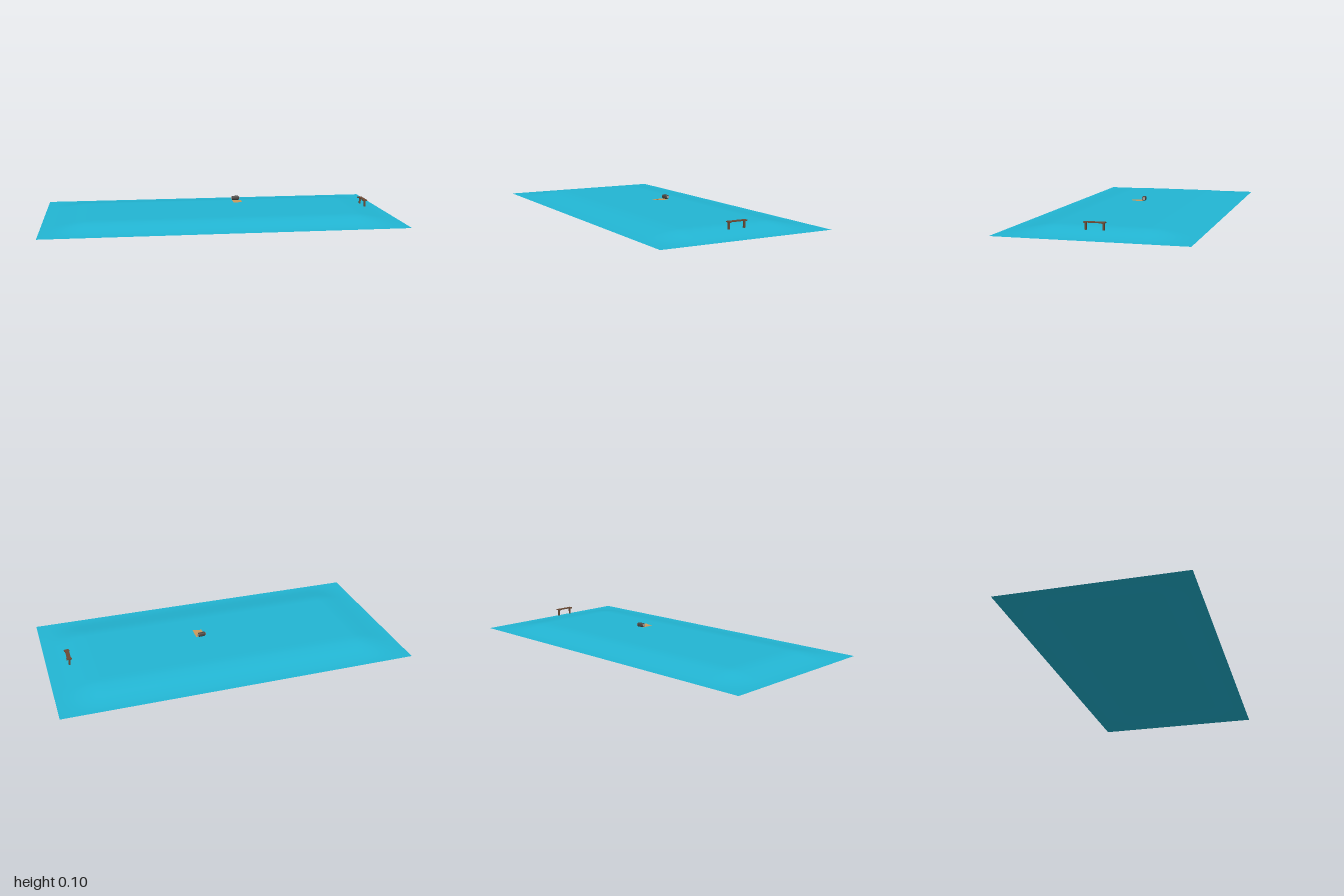
import * as THREE from 'three';
import { RoundedBoxGeometry } from 'three/addons/geometries/RoundedBoxGeometry.js';

const material = (color, side = THREE.FrontSide) => new THREE.MeshStandardMaterial({ color, side });

function part(parent, name, geometry, mat, x = 0, y = 0, z = 0) {
  const mesh = new THREE.Mesh(geometry, mat);
  mesh.name = name;
  mesh.position.set(x, y, z);
  parent.add(mesh);
  return mesh;
}

// Flat plane in xz whose heights follow a rule
function sheet(width, depth, nx, nz, height) {
  const geometry = new THREE.PlaneGeometry(width, depth, nx, nz).rotateX(-Math.PI / 2);
  const p = geometry.attributes.position;
  for (let i = 0; i < p.count; i++) p.setY(i, height(p.getX(i), p.getZ(i)));
  geometry.computeVertexNormals();
  return geometry;
}

export function createModel() {
  const model = new THREE.Group();
  model.name = 'benchAndMatOnSheet';
  const wood = material(0x6b4a35);
  const dark = material(0x4a4743);
  const pale = material(0xa8a59e);
  const tan = material(0xcb9a5c, THREE.DoubleSide);

  // Wide sheet: a flat plateau easing down to the rim on all four sides
  const ease = (d) => THREE.MathUtils.smoothstep(d, 0, 0.26);
  part(model, 'groundSheet',
    sheet(2, 1, 100, 50, (x, z) => 0.032 * ease(1 - Math.abs(x)) * ease(0.5 - Math.abs(z))),
    material(0x22b6d4, THREE.DoubleSide));

  // Bench near the right-hand end, with a cross block over each leg
  const bench = new THREE.Group();
  bench.name = 'bench';
  bench.position.set(0.877, 0, 0);
  model.add(bench);
  part(bench, 'benchSeat', new THREE.BoxGeometry(0.022, 0.005, 0.112), wood, 0, 0.0705, 0);
  for (const z of [-0.045, 0.046]) {
    part(bench, 'benchCrossBlock', new THREE.BoxGeometry(0.03, 0.005, 0.014), wood, 0, 0.069, z);
    part(bench, 'benchLeg', new THREE.BoxGeometry(0.01, 0.038, 0.008), wood, 0, 0.051, z);
  }

  // Thin mat with a slightly lifted front corner, and a rounded bag at its back
  const set = new THREE.Group();
  set.name = 'matAndBag';
  set.position.set(0.118, 0, 0);
  model.add(set);
  part(set, 'mat',
    sheet(0.052, 0.074, 8, 12, (x, z) => 0.074 + 0.01 * Math.max(0, (x / 0.026 + z / 0.037) / 2 - 0.3) ** 2),
    tan);
  const bag = new THREE.Group();
  bag.name = 'bag';
  bag.position.set(-0.006, 0.0865, -0.037);
  bag.rotation.y = 0.12;
  set.add(bag);
  part(bag, 'bagBody', new RoundedBoxGeometry(0.046, 0.024, 0.022, 4, 0.009), dark);
  for (const side of [-1, 1]) {
    part(bag, 'bagEndPanel', new RoundedBoxGeometry(0.004, 0.014, 0.014, 2, 0.0015), pale, side * 0.0225, 0, 0);
  }
  const handle = part(bag, 'bagHandle', new THREE.TorusGeometry(0.009, 0.0015, 6, 16, Math.PI), dark, 0, 0.01, 0);
  handle.scale.y = 0.35;

  return model;
}
